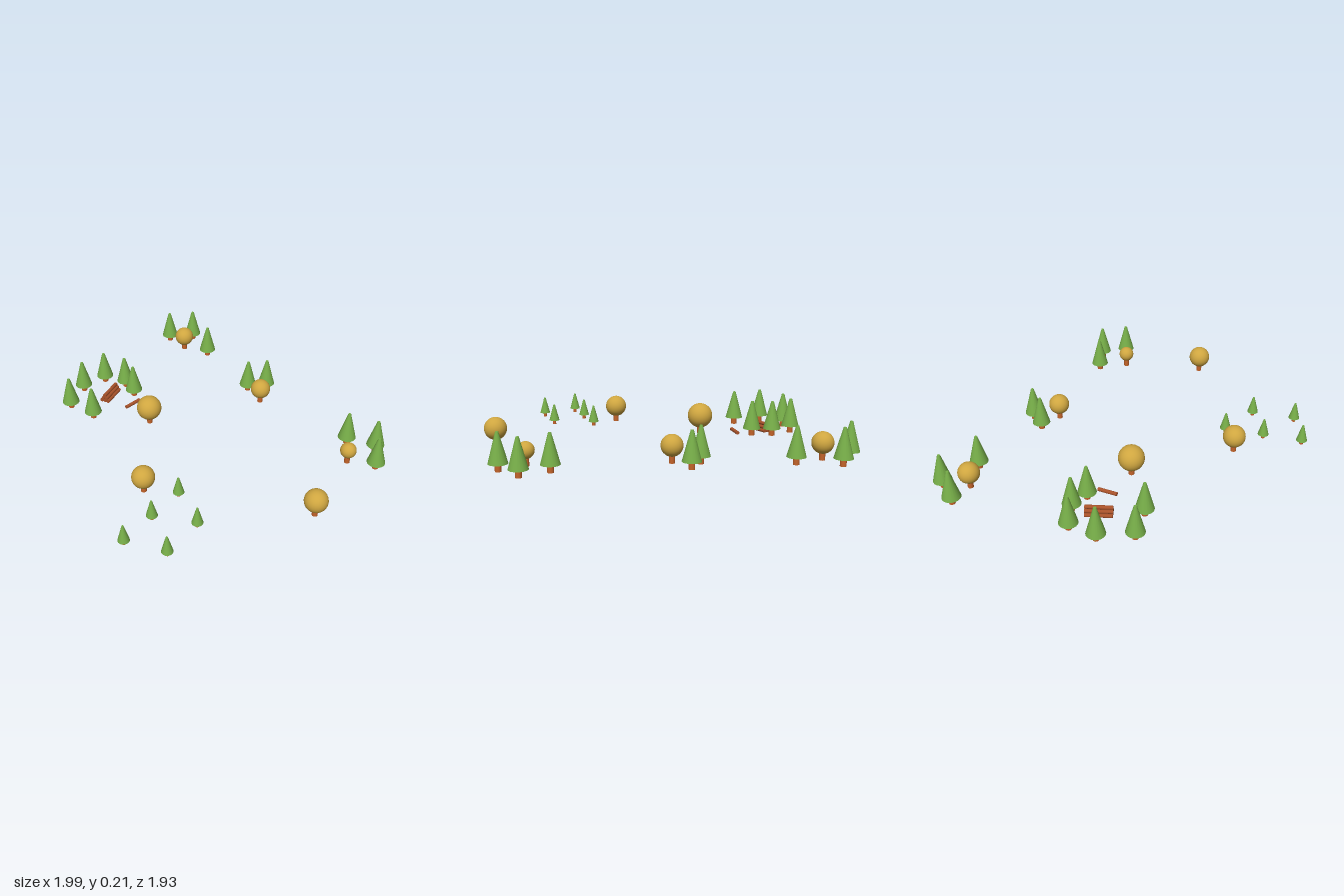
import * as THREE from 'three';

const mat = (color) => new THREE.MeshStandardMaterial({ color });

export function createModel() {
  const model = new THREE.Group();
  const green = mat(0x76ad48), bark = mat(0xc4642a), gold = mat(0xcfa640), wood = mat(0xa8522a);

  function part(parent, name, geometry, material, x, y, z) {
    const mesh = new THREE.Mesh(geometry, material);
    mesh.name = name;
    mesh.position.set(x, y, z);
    parent.add(mesh);
    return mesh;
  }
  function group(name, x, z) {
    const g = new THREE.Group();
    g.name = name;
    g.position.set(x, 0, z);
    model.add(g);
    return g;
  }

  // Pine: short trunk under a tall, slightly blunt cone
  function pine(x, z, s) {
    const g = group('pineTree', x, z);
    part(g, 'trunk', new THREE.CylinderGeometry(0.0175, 0.0175, 0.05, 14), bark, 0, 0.025, 0);
    part(g, 'foliage', new THREE.CylinderGeometry(0.008, 0.053, 0.168, 18), green, 0, 0.126, 0);
    g.scale.setScalar(s);
  }
  // Round tree: trunk and a ball crown
  function roundTree(x, z, r, y) {
    const g = group('roundTree', x, z);
    part(g, 'trunk', new THREE.CylinderGeometry(0.0165, 0.0165, 0.055, 14), bark, 0, 0.0275, 0);
    part(g, 'crown', new THREE.SphereGeometry(r, 28, 18), gold, 0, y, 0);
  }

  // Full-size pines
  [[-0.883, -0.8], [-0.765, -0.912], [-0.552, -0.797], [-0.088, -0.605], [0, -0.688],
    [0.696, -0.49], [0.867, -0.523], [0.942, -0.379], [-0.907, -0.133], [-0.76, -0.168],
    [-0.648, -0.121], [-0.947, 0.028], [-0.882, 0.216], [-0.696, 0.213],
  ].forEach(([x, z]) => pine(x, z, 1));

  // Saplings
  [[0.175, 0.475], [0.4, 0.605], [0.172, 0.704], [0.4, 0.86], [0.171, 0.931],
  ].forEach(([x, z]) => pine(x, z, 0.61));

  // Round trees: x, z, crown radius, crown height
  [[-0.73, -0.767, 0.061, 0.097], [0.05, -0.54, 0.061, 0.097], [0.787, -0.329, 0.047, 0.087],
    [-0.379, 0.048, 0.075, 0.11], [0.856, 0.165, 0.066, 0.102], [-0.005, 0.557, 0.066, 0.1],
  ].forEach((t) => roundTree(...t));

  // Logs lie along z within their group
  const R = 0.011;
  function log(parent, x, y, length) {
    part(parent, 'log', new THREE.CylinderGeometry(R, R, length, 12), wood, x, y, 0).rotation.x = Math.PI / 2;
  }
  // Stacked pile: rows of three, two and one
  const pile = group('logPile', -0.76, -0.018);
  pile.rotation.y = 0.215;
  for (let row = 0; row < 3; row++) {
    for (let i = 0; i < 3 - row; i++) log(pile, (i - (2 - row) / 2) * 2 * R, R + row * R * 1.732, 0.15);
  }
  // Loose log
  const loose = group('looseLog', -0.581, -0.028);
  loose.rotation.y = -0.14;
  log(loose, 0, R, 0.113);

  return model;
}
